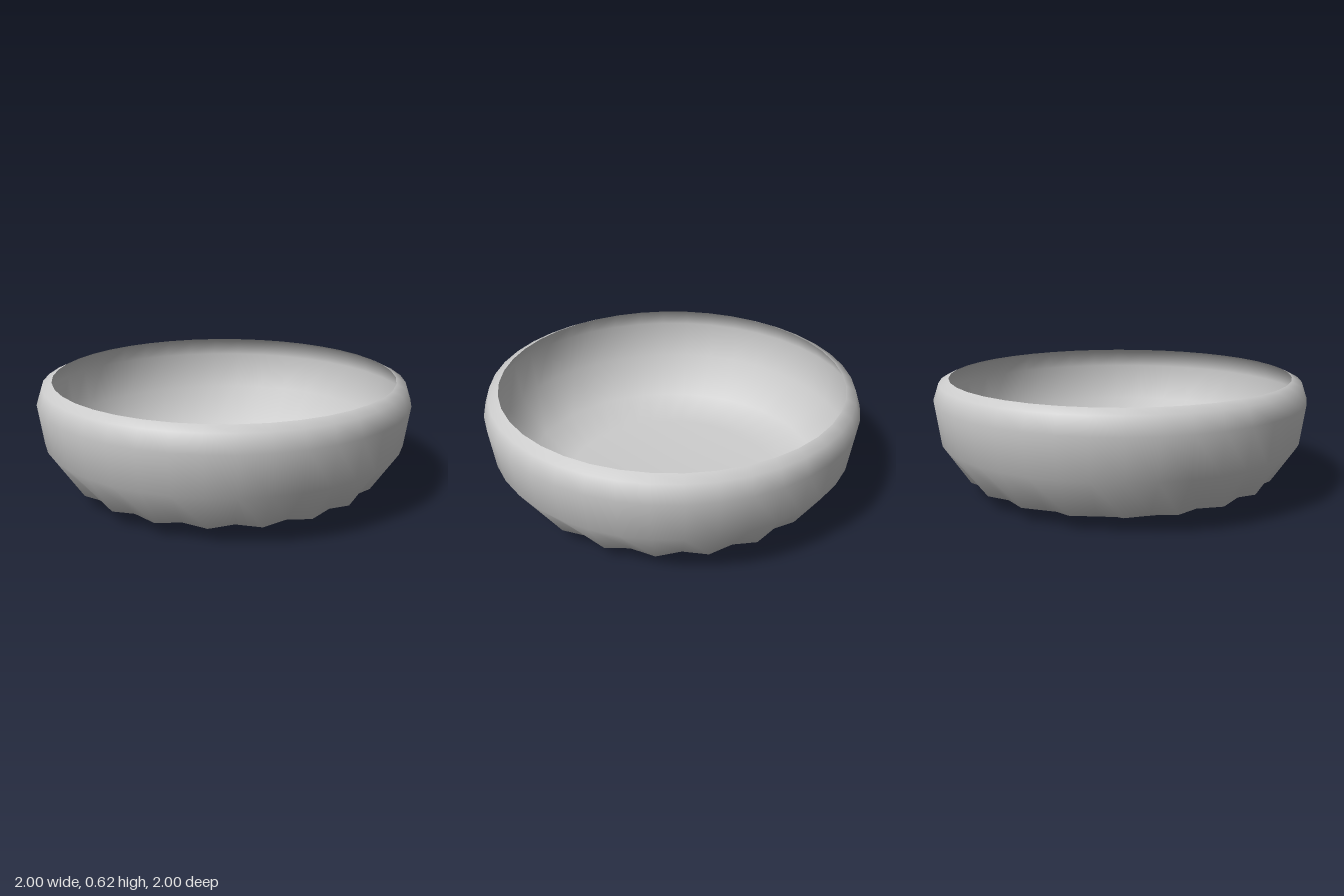
import * as THREE from 'three';

const SEGMENTS = 40;

// Bowl wall from the centre of the base up to the inner lip: [radius, height]
const PROFILE = [
  [0, 0], [0.6, 0], [0.83, 0.075], [0.97, 0.285],
  [1, 0.5], [0.97, 0.59], [0.917, 0.615],
];
const FOOT_RING = 2;

export function createModel() {
  const group = new THREE.Group();
  group.name = 'bowl';

  const points = PROFILE.map(([r, y]) => new THREE.Vector2(r, y));
  const geometry = new THREE.LatheGeometry(points, SEGMENTS);

  // Scallop the lower edge: every second vertex sits slightly in and up
  const pos = geometry.attributes.position;
  for (let i = 1; i < SEGMENTS; i += 2) {
    const v = i * PROFILE.length + FOOT_RING;
    const k = 0.806 / 0.83;
    pos.setXYZ(v, pos.getX(v) * k, 0.088, pos.getZ(v) * k);
  }

  // Thin shell, seen from inside and outside
  const shell = new THREE.Mesh(
    geometry,
    new THREE.MeshStandardMaterial({ color: 0xcccccc, side: THREE.DoubleSide }),
  );
  shell.name = 'bowlShell';
  group.add(shell);
  return group;
}
